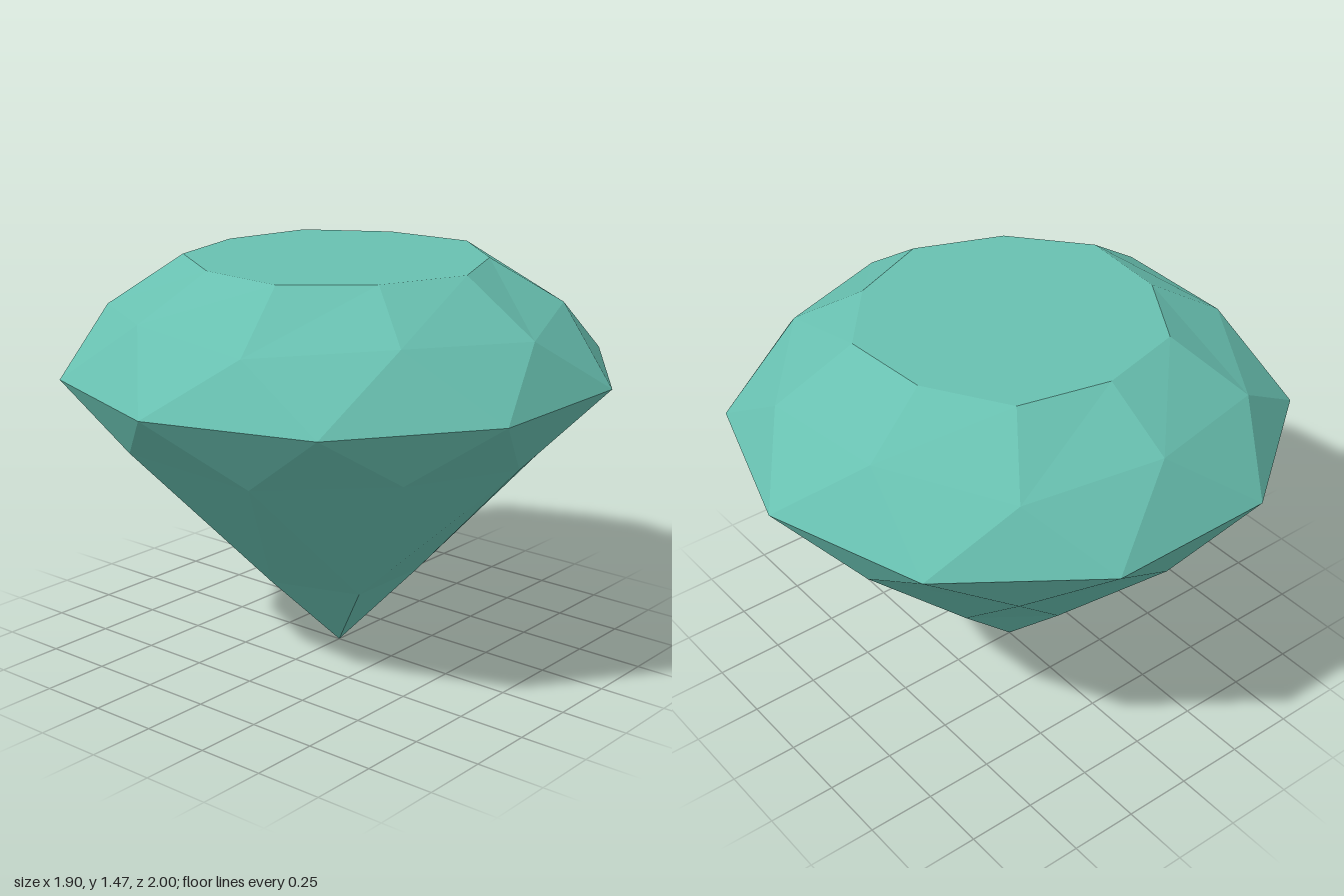
import * as THREE from 'three';

const N = 10;
const STEP = (Math.PI * 2) / N;

// Point at step k around the axis (fractions allowed)
const at = (k, r, y) => new THREE.Vector3(Math.cos(k * STEP) * r, y, Math.sin(k * STEP) * r);
// Ring radius and height alternate between even and odd steps
const ring = (even, odd) => (k) => at(k, ...(k % 2 === 0 ? even : odd));

const table = ring([0.557, 1.465], [0.53, 1.465]);
const crownMid = ring([0.835, 1.28], [0.795, 1.31]);
const girdle = (k) => at(k + 0.5, 1, 1.075);
const pavilionMid = ring([0.79, 0.83], [0.84, 0.87]);
const culetRing = (k) => at(k, 0.29, 0.29);
const tip = new THREE.Vector3(0, 0, 0);
const tableCentre = new THREE.Vector3(0, 1.465, 0);
const inside = new THREE.Vector3(0, 1, 0);

// Flat facets, each wound to face away from the inside of the stone
function facetMesh(name, triangles, material) {
  const points = [];
  for (const [a, b, c] of triangles) {
    const normal = b.clone().sub(a).cross(c.clone().sub(a));
    points.push(...(normal.dot(a.clone().sub(inside)) > 0 ? [a, b, c] : [a, c, b]));
  }
  const geometry = new THREE.BufferGeometry().setFromPoints(points);
  geometry.computeVertexNormals();
  const mesh = new THREE.Mesh(geometry, material);
  mesh.name = name;
  return mesh;
}

export function createModel() {
  const gem = new THREE.MeshStandardMaterial({ color: 0x68c0b0, flatShading: true });
  gem.name = 'sea green gem';

  const top = [], crown = [], pavilion = [], culet = [];
  for (let k = 0; k < N; k++) {
    const n = k + 1;
    top.push([tableCentre, table(k), table(n)]);

    // Crown: main facet, star facet and girdle facet
    crown.push([table(k), table(n), crownMid(n)], [table(k), crownMid(n), crownMid(k)]);
    crown.push([crownMid(k), crownMid(n), girdle(k)]);
    crown.push([girdle(k - 1), girdle(k), crownMid(k)]);

    // Pavilion: girdle facets, then long facets running to the five low corners
    pavilion.push([girdle(k - 1), girdle(k), pavilionMid(k)]);
    pavilion.push([pavilionMid(k), pavilionMid(n), girdle(k)]);
    pavilion.push([pavilionMid(k), pavilionMid(n), culetRing(k % 2 ? k : n)]);
    if (k % 2 === 0) {
      pavilion.push([pavilionMid(k), culetRing(k - 1), culetRing(n)]);
      culet.push([culetRing(k - 1), culetRing(n), tip]);
    }
  }

  const group = new THREE.Group();
  group.name = 'gemstone';
  group.add(
    facetMesh('table', top, gem),
    facetMesh('crown', crown, gem),
    facetMesh('pavilion', pavilion, gem),
    facetMesh('culet', culet, gem),
  );
  return group;
}
